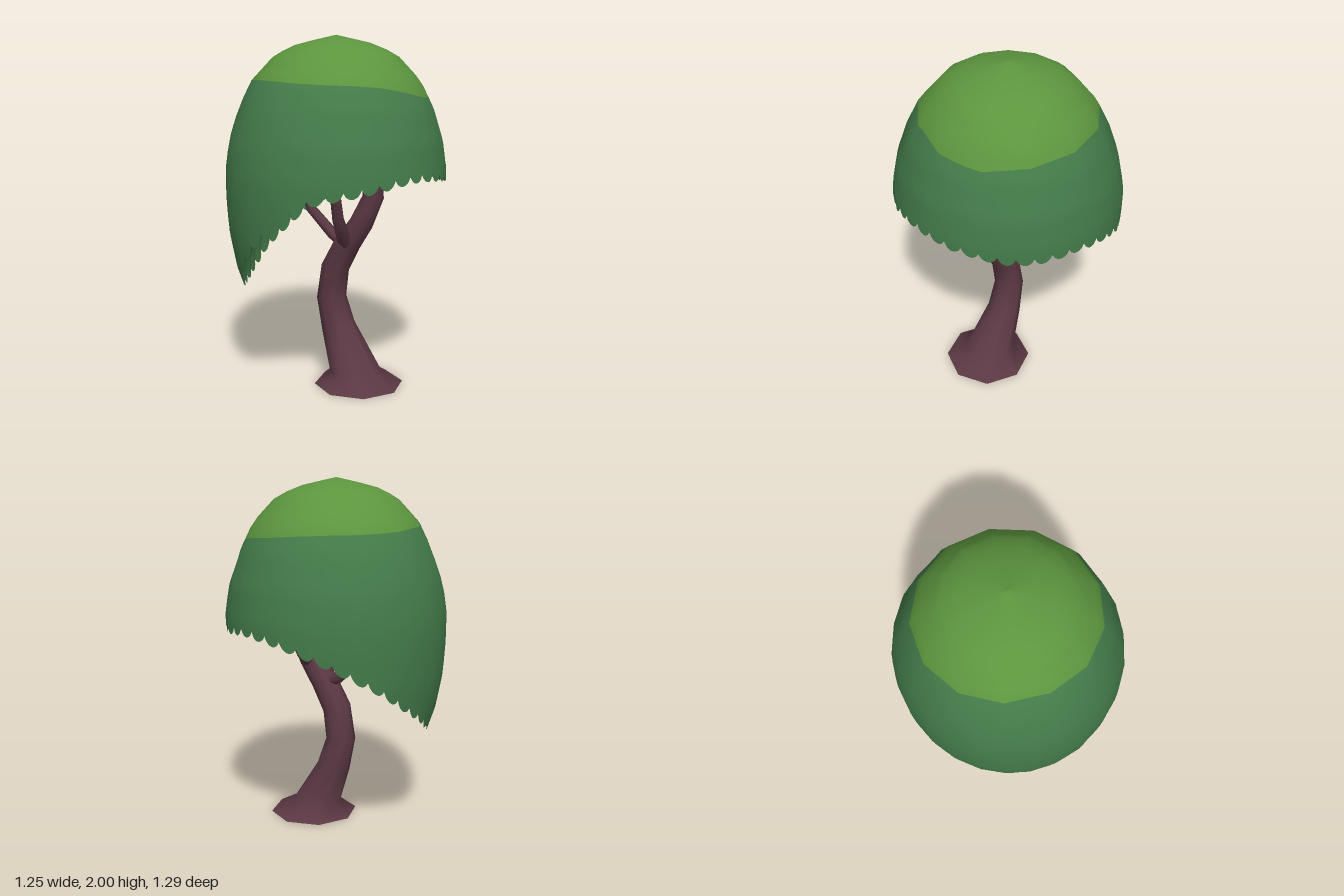
import * as THREE from 'three';

const bark = new THREE.MeshStandardMaterial({ color: 0x5b3843 });
bark.name = 'bark';
const leaf = new THREE.MeshStandardMaterial({ color: 0x447c4a });
leaf.name = 'leafGreen';
const crown = new THREE.MeshStandardMaterial({ color: 0x5c953e });
crown.name = 'crownGreen';

// Linear lookup in a falling list of [height, radius]
const PROFILE = [[2, 0], [1.95, 0.22], [1.89, 0.345], [1.75, 0.476], [1.6, 0.55], [1.42, 0.605],
  [1.25, 0.628], [1.1, 0.628], [0.9, 0.615], [0.7, 0.578], [0.5, 0.51]];
function radiusAt(y) {
  let i = 1;
  while (i < PROFILE.length - 1 && PROFILE[i][0] > y) i++;
  const [y0, r0] = PROFILE[i - 1], [y1, r1] = PROFILE[i];
  return THREE.MathUtils.lerp(r0, r1, (y0 - y) / (y0 - y1));
}

// Smooth periodic lookup around the tree, starting at +x and turning towards +z
function around(list, angle) {
  const n = list.length, u = angle / (2 * Math.PI) * n, i = Math.floor(u), t = u - i;
  const at = k => list[(k + n) % n];
  const a = at(i - 1), b = at(i), c = at(i + 1), d = at(i + 2);
  return b + 0.5 * t * (c - a + t * (2 * a - 5 * b + 4 * c - d + t * (3 * (b - c) + d - a)));
}
const RIM = [1.24, 1.27, 1.22, 1.14, 0.89, 0.63, 0.62, 0.77, 0.97, 1.13, 1.21, 1.2];
const CROWN_EDGE = [1.66, 1.72, 1.74, 1.755, 1.74, 1.715, 1.705, 1.68];
const SCALLOPS = 42, SEG = SCALLOPS * 8;
const scallopedRim = a => around(RIM, a) - 0.04 * Math.abs(Math.sin(a * SCALLOPS / 2)) ** 0.65;

// Radius factor that turns a circle into an n-sided polygon
function polygon(a, n) {
  const step = 2 * Math.PI / n;
  return Math.cos(step / 2) / Math.cos(((a + 0.14) % step) - step / 2);
}

// Closed grid of rows around the y axis; point(row, angle) gives [radius, height]
function makeShell(rows, point) {
  const pos = [], index = [];
  for (let i = 0; i <= rows; i++) {
    for (let j = 0; j < SEG; j++) {
      const a = j / SEG * 2 * Math.PI, [r, y] = point(i, a);
      pos.push(r * Math.cos(a), y, r * Math.sin(a));
    }
  }
  for (let i = 0; i < rows; i++) {
    for (let j = 0; j < SEG; j++) {
      const a = i * SEG + j, b = i * SEG + (j + 1) % SEG, c = a + SEG, d = b + SEG;
      index.push(a, b, c, b, d, c);
    }
  }
  const geo = new THREE.BufferGeometry();
  geo.setAttribute('position', new THREE.Float32BufferAttribute(pos, 3));
  geo.setIndex(index);
  geo.computeVertexNormals();
  // Coarse outline under smooth normals: few sides at the crown, more lower down
  const p = geo.attributes.position;
  for (let v = 0; v < p.count; v++) {
    const a = (v % SEG) / SEG * 2 * Math.PI;
    const t = THREE.MathUtils.smoothstep(p.getY(v), 1.3, 1.7);
    const f = THREE.MathUtils.lerp(polygon(a, 26), polygon(a, 13), t);
    p.setX(v, p.getX(v) * f);
    p.setZ(v, p.getZ(v) * f * THREE.MathUtils.lerp(1.03, 1, t));
  }
  return geo;
}

// Drooping leaves with a slanted, scalloped rim; the crown is its own colour group
function makeCanopy() {
  const crownRows = 8, skirtRows = 12;
  const geo = makeShell(crownRows + skirtRows, (i, a) => {
    const edge = around(CROWN_EDGE, a);
    const y = i <= crownRows
      ? 2 - (2 - edge) * (i / crownRows) ** 1.5
      : THREE.MathUtils.lerp(edge, scallopedRim(a), (i - crownRows) / skirtRows);
    return [radiusAt(y), y];
  });
  geo.addGroup(0, crownRows * SEG * 6, 0);
  geo.addGroup(crownRows * SEG * 6, skirtRows * SEG * 6, 1);
  return new THREE.Mesh(geo, [crown, leaf]);
}

// Hollow underside: a vault that rises from the rim and slants with it
function makeUnderside() {
  const rows = 14, middle = 0.95, rise = 0.52;
  return new THREE.Mesh(makeShell(rows, (i, a) => {
    const t = i / rows * Math.PI / 2;
    const low = i === 0 ? scallopedRim(a) : around(RIM, a);
    return [radiusAt(low) * Math.cos(t), THREE.MathUtils.lerp(middle, low, Math.cos(t)) + rise * Math.sin(t)];
  }), leaf);
}

// Tapering limb through [x, y, z, radius] stations; the first flatRings stay level
function makeLimb(stations, sides, flatRings = 0) {
  const up = new THREE.Vector3(0, 1, 0);
  const pts = stations.map(s => new THREE.Vector3(s[0], s[1], s[2]));
  const last = pts.length - 1, pos = [], index = [];
  const ring = i => {
    const dir = pts[Math.min(i + 1, last)].clone().sub(pts[Math.max(i - 1, 0)]).normalize();
    const q = new THREE.Quaternion().setFromUnitVectors(up, i < flatRings ? up : dir);
    const r = stations[i][3] / Math.cos(Math.PI / sides);
    for (let j = 0; j < sides; j++) {
      const a = (j + 0.5) / sides * 2 * Math.PI;
      const v = new THREE.Vector3(r * Math.cos(a), 0, r * Math.sin(a)).applyQuaternion(q).add(pts[i]);
      pos.push(v.x, v.y, v.z);
    }
  };
  pts.forEach((p, i) => ring(i));
  for (let i = 0; i < last; i++) {
    for (let j = 0; j < sides; j++) {
      const k = (j + 1) % sides;
      const a = i * sides + j, b = i * sides + k, c = a + sides, d = b + sides;
      index.push(a, c, b, b, c, d);
    }
  }
  // End caps with their own vertices, so their edges stay sharp
  for (const end of [0, last]) {
    const start = pos.length / 3;
    ring(end);
    pos.push(...pts[end].toArray());
    for (let j = 0; j < sides; j++) {
      const a = start + j, b = start + (j + 1) % sides, c = start + sides;
      if (end === 0) index.push(c, a, b);
      else index.push(c, b, a);
    }
  }
  const geo = new THREE.BufferGeometry();
  geo.setAttribute('position', new THREE.Float32BufferAttribute(pos, 3));
  geo.setIndex(index);
  geo.computeVertexNormals();
  return new THREE.Mesh(geo, bark);
}

export function createModel() {
  const tree = new THREE.Group();
  tree.name = 'tree';
  const add = (name, mesh) => { mesh.name = name; tree.add(mesh); };

  add('canopy', makeCanopy());
  add('canopyUnderside', makeUnderside());

  // Curved trunk with a flared foot
  add('trunk', makeLimb([
    [0.16, 0, 0.07, 0.238], [0.14, 0.07, 0.065, 0.138], [0.02, 0.31, 0.015, 0.092],
    [-0.027, 0.49, 0.003, 0.08], [0, 0.67, 0.015, 0.076], [0.08, 0.82, 0.04, 0.072],
    [0.17, 0.95, 0.065, 0.064], [0.245, 1.11, 0.085, 0.056], [0.235, 1.26, 0.085, 0.05],
    [0.22, 1.56, 0.085, 0.042],
  ], 8, 2));

  // Three thin branches
  add('frontBranch', makeLimb([
    [0.085, 0.82, 0.06, 0.036], [0.085, 0.87, 0.13, 0.034], [0.085, 1.0, 0.235, 0.028], [0.075, 1.36, 0.335, 0.022],
  ], 6));
  add('rightBranch', makeLimb([
    [0.06, 0.82, 0.03, 0.032], [-0.02, 0.86, -0.005, 0.029], [-0.17, 1.0, -0.045, 0.026], [-0.25, 1.28, -0.06, 0.022],
  ], 6));
  add('backBranch', makeLimb([
    [0.17, 0.92, 0.05, 0.032], [0.19, 1.0, -0.05, 0.028], [0.225, 1.2, -0.2, 0.023], [0.235, 1.45, -0.27, 0.02],
  ], 6));

  return tree;
}
